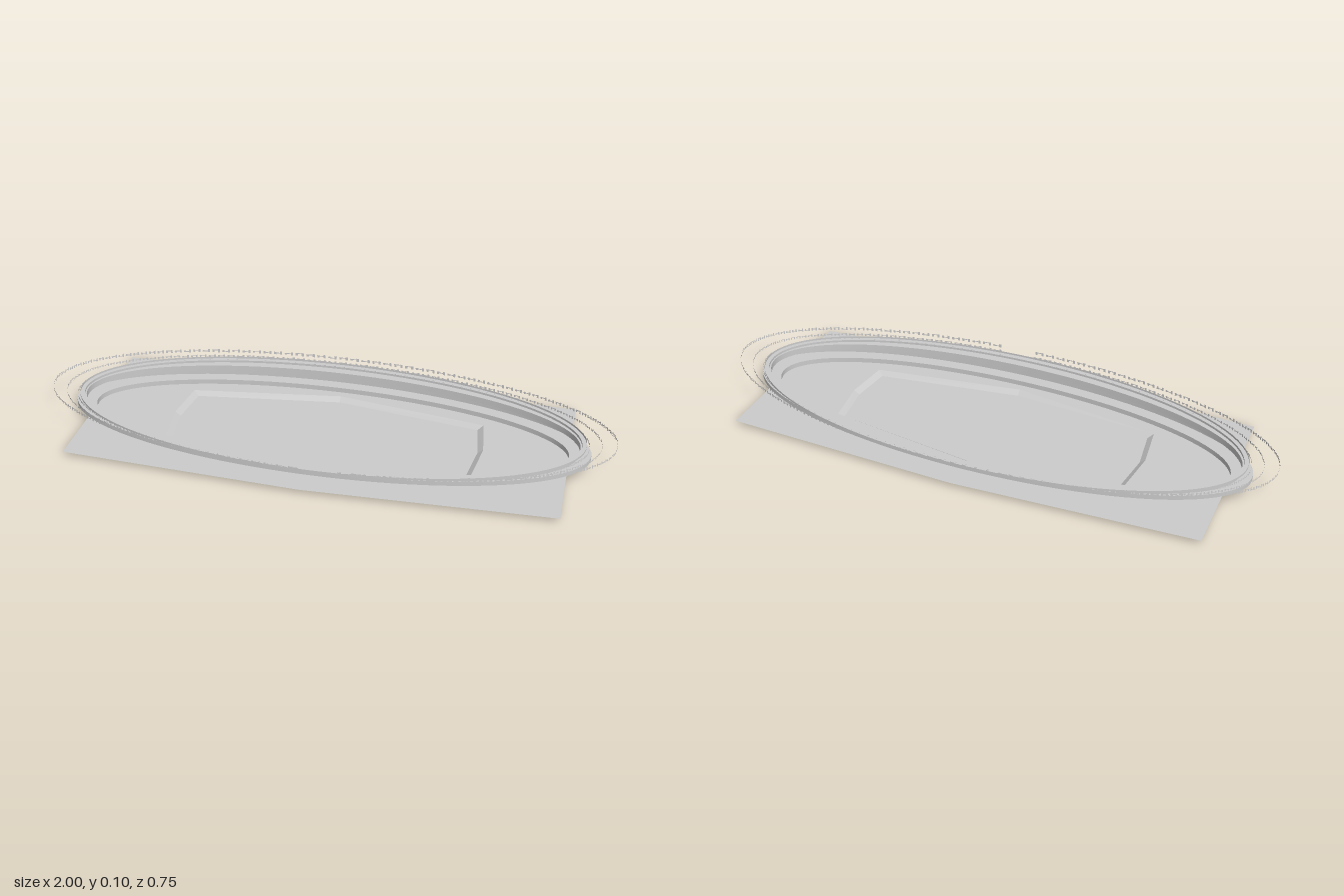
import * as THREE from 'three';
import { mergeGeometries } from 'three/addons/utils/BufferGeometryUtils.js';

const material = new THREE.MeshStandardMaterial({ color: 0xcccccc, side: THREE.DoubleSide });

// Smooth elliptical band between two loops given as [x radius, z radius, height]
function band(lower, upper, segments = 96) {
  const positions = [], index = [];
  for (let i = 0; i <= segments; i++) {
    const t = (i / segments) * Math.PI * 2;
    for (const [a, b, y] of [lower, upper]) positions.push(a * Math.sin(t), y, b * Math.cos(t));
    if (i < segments) {
      const k = i * 2;
      index.push(k, k + 2, k + 1, k + 1, k + 2, k + 3);
    }
  }
  const g = new THREE.BufferGeometry();
  g.setAttribute('position', new THREE.Float32BufferAttribute(positions, 3));
  g.setIndex(index);
  g.computeVertexNormals();
  return g;
}

function addMesh(group, name, geometry) {
  const mesh = new THREE.Mesh(geometry, material);
  mesh.name = name;
  group.add(mesh);
}

// Bowl floor corners in plan, with the rim and the smaller sunken bottom
const rim = [[0, 0.24], [0.535, 0.16], [0.555, 0], [0.535, -0.16],
  [0, -0.24], [-0.535, -0.16], [-0.555, 0], [-0.535, 0.16]];
const sunken = rim.map(([x, z]) => [x * 0.965, z * 0.92]);
const FLOOR = 0.015;

function flatShape(points) {
  return new THREE.Shape(points.map(([x, z]) => new THREE.Vector2(x, -z)));
}

// Sloping sides joining the rim to the sunken bottom
function sunkenSides() {
  const p = [];
  rim.forEach((r, i) => {
    const j = (i + 1) % rim.length;
    const a = [r[0], FLOOR, r[1]], b = [rim[j][0], FLOOR, rim[j][1]];
    const c = [sunken[i][0], 0, sunken[i][1]], d = [sunken[j][0], 0, sunken[j][1]];
    p.push(...c, ...d, ...a, ...a, ...d, ...b);
  });
  const g = new THREE.BufferGeometry();
  g.setAttribute('position', new THREE.Float32BufferAttribute(p, 3));
  g.computeVertexNormals();
  return g;
}

// Row of thin upright panels and bars following an ellipse
function railing(a, b, y, height, count, seed) {
  let s = seed;
  const rand = () => (s = (s * 16807) % 2147483647) / 2147483647;
  const parts = [];
  for (let i = 0; i < count; i++) {
    const t = ((i + 0.5) / count) * Math.PI * 2;
    const x = a * Math.sin(t), z = b * Math.cos(t);
    // entrance gap at the front
    if (z > 0 && x > 0 && x < 0.12) continue;
    const dx = a * Math.cos(t), dz = -b * Math.sin(t);
    const slot = (Math.hypot(dx, dz) * Math.PI * 2) / count;
    const yaw = Math.atan2(-dz, dx);
    const piece = (w, h, u, v) => {
      const g = new THREE.PlaneGeometry(w, h);
      g.translate(u, v, 0);
      g.rotateY(yaw);
      g.translate(x, y, z);
      parts.push(g);
    };
    const post = slot * 0.2, bar = height * 0.25;
    piece(post, height, -slot * 0.3, height / 2);
    piece(post, height * (0.5 + rand() * 0.4), slot * 0.25, height * 0.45);
    piece(slot * 0.75, bar, 0, height * (0.3 + rand() * 0.5));
  }
  return mergeGeometries(parts);
}

export function createModel() {
  const model = new THREE.Group();
  model.name = 'arena';

  // Ground plate with an opening for the sunken field
  const plate = flatShape([[0, 0.375], [0.845, 0.34], [0.845, -0.34],
    [0, -0.375], [-0.845, -0.34], [-0.845, 0.34]]);
  plate.holes.push(new THREE.Path(flatShape(rim).getPoints()));
  addMesh(model, 'groundPlate', new THREE.ShapeGeometry(plate).rotateX(-Math.PI / 2).translate(0, FLOOR, 0));
  addMesh(model, 'sunkenSides', sunkenSides());
  addMesh(model, 'sunkenField', new THREE.ShapeGeometry(flatShape(sunken)).rotateX(-Math.PI / 2));

  // Stepped elliptical stands, alternating walls and terraces
  const profile = [
    [0.845, 0.268, 0.015], [0.845, 0.268, 0.033], [0.918, 0.31, 0.033], [0.918, 0.31, 0.049],
    [0.88, 0.31, 0.049], [0.88, 0.31, 0.071], [0.885, 0.34, 0.071], [0.885, 0.34, 0.079],
    [0.9, 0.358, 0.079], [0.9, 0.358, 0.086],
  ];
  const stands = new THREE.Group();
  stands.name = 'stands';
  for (let i = 0; i < profile.length - 1; i++) {
    addMesh(stands, i % 2 ? 'terrace' : 'standWall', band(profile[i], profile[i + 1]));
  }
  model.add(stands);

  // Three rows of railing, widening upward
  const rails = new THREE.Group();
  rails.name = 'railings';
  [[0.91, 0.342, 0.07, 0.01], [0.95, 0.36, 0.08, 0.01], [1, 0.375, 0.09, 0.013]]
    .forEach(([a, b, y, h], i) => addMesh(rails, 'railingRow', railing(a, b, y, h, 150, 11 + i * 37)));
  model.add(rails);

  return model;
}
